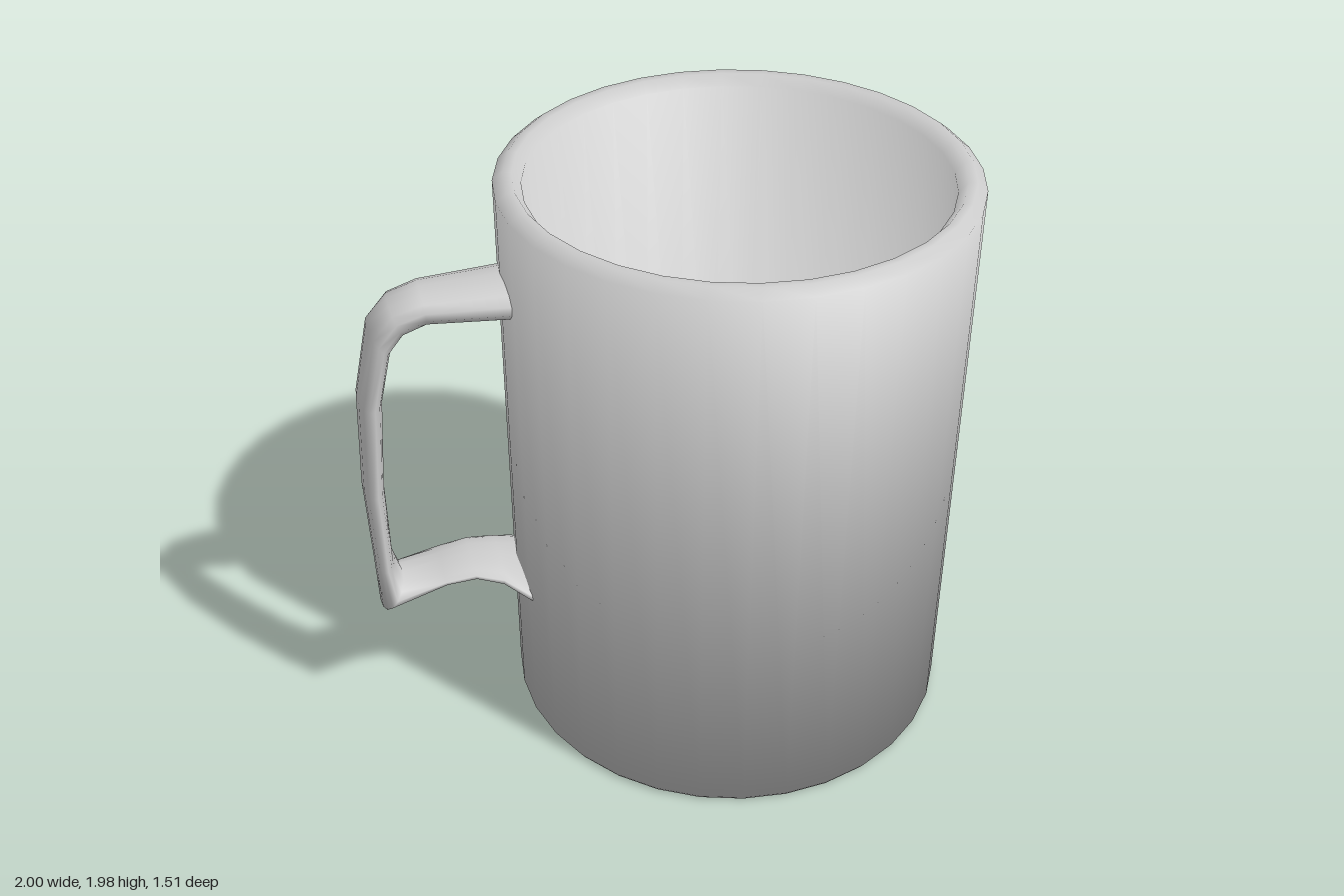
import * as THREE from 'three';

const material = new THREE.MeshStandardMaterial({ color: 0xcccccc });
const CENTRE_X = 0.245;

// Lathe with soft shading: each point is [radius, y, tilt], where tilt is the
// angle of the normal in degrees (0 outward, 90 up, 180 inward, -90 down)
function softLathe(profile, sides) {
  const geometry = new THREE.LatheGeometry(profile.map(([r, y]) => new THREE.Vector2(r, y)), sides);
  const normal = geometry.attributes.normal;
  for (let i = 0; i <= sides; i++) {
    const turn = (i / sides) * Math.PI * 2;
    profile.forEach(([, , tilt], j) => {
      const a = THREE.MathUtils.degToRad(tilt), out = Math.cos(a);
      normal.setXYZ(i * profile.length + j, out * Math.sin(turn), Math.sin(a), out * Math.cos(turn));
    });
  }
  return geometry;
}

// Closed loft: each station is [outerX, outerY, innerX, innerY, halfWidth]
function loft(stations, sides) {
  const positions = [], index = [];
  stations.forEach(([ox, oy, ix, iy, w], i) => {
    const mx = (ox + ix) / 2, my = (oy + iy) / 2;
    for (let j = 0; j < sides; j++) {
      const a = (j / sides) * Math.PI * 2, c = Math.cos(a);
      positions.push(mx + c * (ox - mx), my + c * (oy - my), Math.sin(a) * w);
      if (i === stations.length - 1) continue;
      const p = i * sides + j, q = i * sides + (j + 1) % sides;
      index.push(p, p + sides, q, q, p + sides, q + sides);
    }
  });
  const geometry = new THREE.BufferGeometry();
  geometry.setAttribute('position', new THREE.Float32BufferAttribute(positions, 3));
  geometry.setIndex(index);
  geometry.computeVertexNormals();
  return geometry;
}

export function createModel() {
  const group = new THREE.Group();
  group.name = 'mug';

  // Body: base, outer wall, rim, inner wall and floor in one smooth run
  const body = new THREE.Mesh(softLathe([
    [0, 0, -90],
    [0.745, 0, -84],
    [0.755, 0.015, -78],
    [0.755, 1.95, 42],
    [0.722, 1.976, 70],
    [0.695, 1.974, 100],
    [0.667, 1.94, 128],
    [0.667, 0.1, 102],
    [0, 0.1, 90],
  ], 32), material);
  body.name = 'body';
  body.position.x = CENTRE_X;
  group.add(body);

  // Handle: from the upper joint, down the grip, round the pointed heel, back to the wall
  const handle = new THREE.Mesh(loft([
    [-0.46, 1.712, -0.46, 1.575, 0.132],
    [-0.51, 1.71, -0.51, 1.578, 0.13],
    [-0.76, 1.70, -0.75, 1.59, 0.105],
    [-0.86, 1.67, -0.82, 1.56, 0.1],
    [-0.93, 1.59, -0.865, 1.50, 0.1],
    [-0.985, 1.33, -0.905, 1.33, 0.105],
    [-1.0, 1.0, -0.93, 1.0, 0.11],
    [-0.99, 0.70, -0.928, 0.69, 0.11],
    [-0.985, 0.5, -0.9, 0.607, 0.11],
    [-0.76, 0.583, -0.77, 0.627, 0.105],
    [-0.66, 0.588, -0.67, 0.645, 0.11],
    [-0.58, 0.562, -0.57, 0.624, 0.13],
    [-0.5, 0.5, -0.5, 0.592, 0.17],
    [-0.46, 0.47, -0.46, 0.565, 0.18],
  ], 14), material);
  handle.name = 'handle';
  group.add(handle);

  return group;
}
